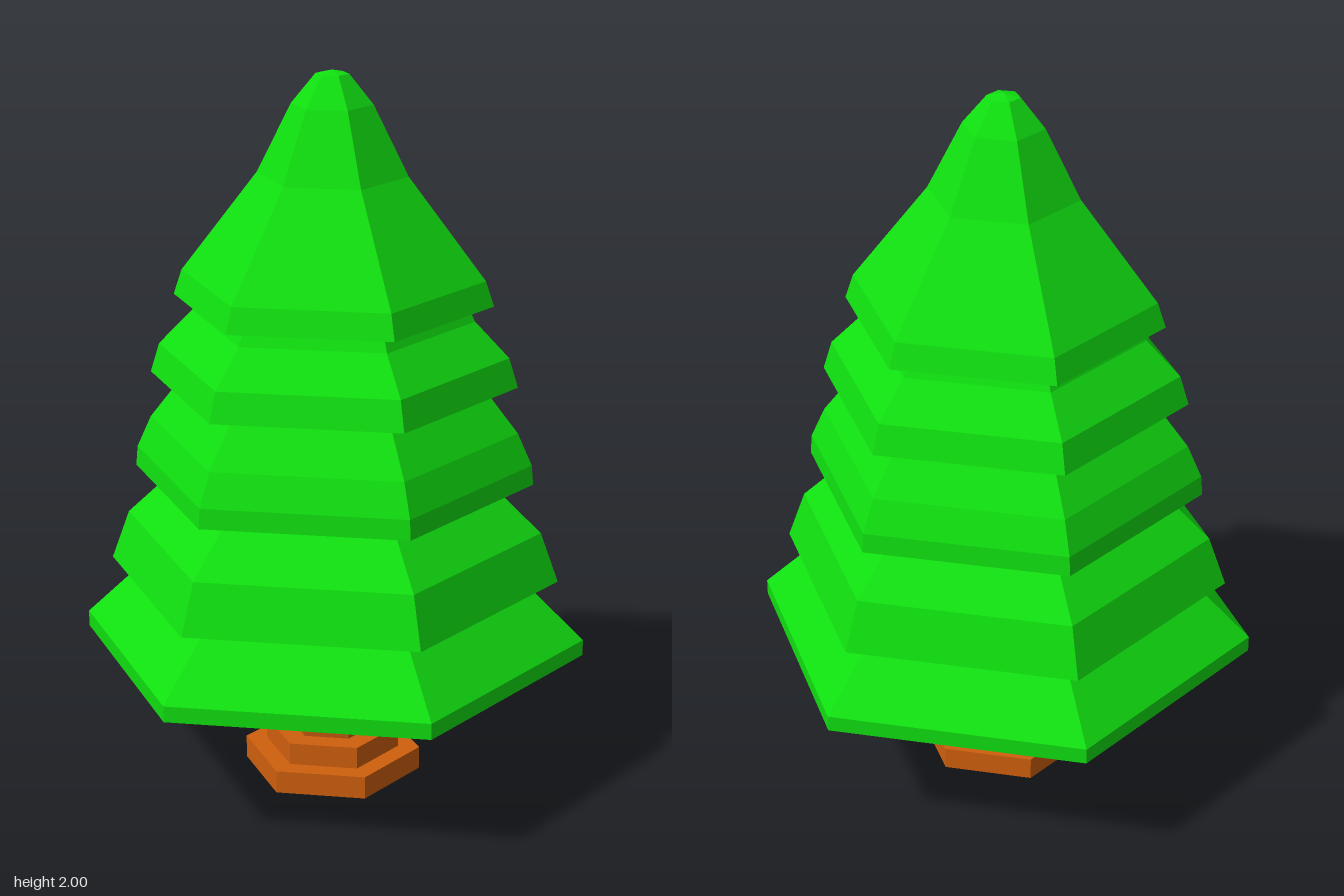
import * as THREE from 'three';

const foliage = new THREE.MeshStandardMaterial({ color: 0x10e010, side: THREE.DoubleSide });
foliage.name = 'foliageGreen';
const bark = new THREE.MeshStandardMaterial({ color: 0xd0600e, side: THREE.DoubleSide });
bark.name = 'barkBrown';

// Faceted six-sided shell from a bottom-to-top profile of [radius, height], corners on the x axis
function hexShell(name, profile, material) {
  const points = profile.map(([r, y]) => new THREE.Vector2(r, y));
  const geometry = new THREE.LatheGeometry(points, 6, Math.PI / 2).toNonIndexed();
  geometry.computeVertexNormals();
  const mesh = new THREE.Mesh(geometry, material);
  mesh.name = name;
  return mesh;
}

export function createModel() {
  const tree = new THREE.Group();
  tree.name = 'tree';

  // Stepped hollow trunk, open underneath
  tree.add(hexShell('trunk', [
    [0.25, 0], [0.25, 0.065], [0.19, 0.065], [0.19, 0.128], [0.125, 0.128], [0.14, 0.225],
  ], bark));

  // Inner bowl closing around the trunk, with the core rising from it
  tree.add(hexShell('core', [
    [0.1, 0.22], [0.14, 0.22], [0.185, 0.255], [0.235, 0.272], [0.41, 0.42],
    [0.34, 0.6], [0.27, 0.9], [0.22, 1.2], [0.15, 1.5],
  ], foliage));

  // Overlapping skirts of branches, lowest first; each is open below
  const tiers = [
    [[0.705, 0.38], [0.705, 0.425], [0.53, 0.595], [0.35, 0.73]],
    [[0.63, 0.595], [0.58, 0.735], [0.435, 0.875], [0.28, 0.99]],
    [[0.555, 0.875], [0.55, 0.93], [0.51, 1.02], [0.41, 1.15], [0.24, 1.25]],
    [[0.507, 1.15], [0.482, 1.232], [0.388, 1.33], [0.366, 1.374], [0.18, 1.47]],
    [[0.438, 1.374], [0.415, 1.443], [0.205, 1.72], [0.11, 1.91], [0.045, 1.99], [0, 2]],
  ];
  tiers.forEach((profile, i) => tree.add(hexShell(`branchTier${i + 1}`, profile, foliage)));

  return tree;
}
